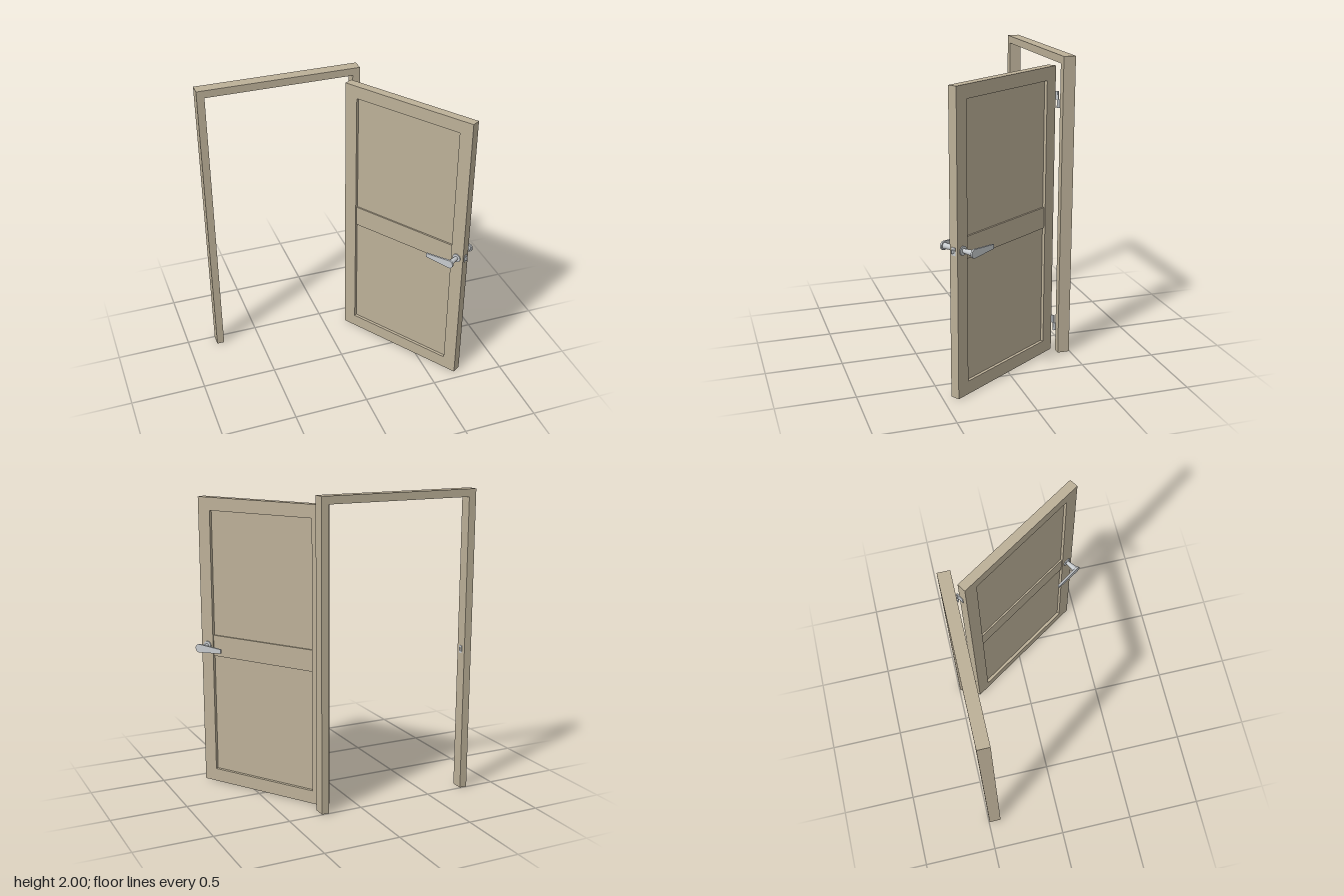
import * as THREE from 'three';

const wood = new THREE.MeshStandardMaterial({ color: 0xbcb098 });
wood.name = 'taupe wood';
const metal = new THREE.MeshStandardMaterial({ color: 0xc6cacd });
metal.name = 'brushed metal';

function add(parent, name, geometry, material, x = 0, y = 0, z = 0) {
  const mesh = new THREE.Mesh(geometry, material);
  mesh.name = name;
  mesh.position.set(x, y, z);
  parent.add(mesh);
  return mesh;
}

const box = (w, h, d) => new THREE.BoxGeometry(w, h, d);

// Closed outline from a list of corner points
function outline(points, Type = THREE.Shape) {
  return new Type(points.map(([x, y]) => new THREE.Vector2(x, y)));
}

function rectangle(x0, y0, x1, y1, Type) {
  return outline([[x0, y0], [x1, y0], [x1, y1], [x0, y1]], Type);
}

// Lever, neck and rose for one side, pointing along +z
function makeHandle(name) {
  const handle = new THREE.Group();
  handle.name = name;

  const rose = add(handle, 'rose', new THREE.CylinderGeometry(0.029, 0.029, 0.008, 24), metal, 0, 0, 0.033);
  rose.rotation.x = Math.PI / 2;

  const neck = add(handle, 'neck', new THREE.CylinderGeometry(0.02, 0.013, 0.08, 20), metal, 0, 0, 0.075);
  neck.rotation.x = Math.PI / 2;

  const shape = new THREE.Shape();
  shape.moveTo(-0.174, 0.014);
  shape.lineTo(-0.174, -0.014);
  shape.lineTo(0, -0.028);
  shape.absarc(0, 0, 0.028, -Math.PI / 2, Math.PI / 2, false);
  shape.closePath();
  const lever = new THREE.ExtrudeGeometry(shape, { depth: 0.012, bevelEnabled: false, curveSegments: 20 });
  add(handle, 'lever', lever, metal, 0, 0, 0.113);
  return handle;
}

export function createModel() {
  const model = new THREE.Group();
  model.name = 'openDoor';

  // Frame: one three-sided extrusion
  const frameShape = outline([
    [-0.805, 0], [-0.755, 0], [-0.755, 1.95], [0.225, 1.95],
    [0.225, 0], [0.275, 0], [0.275, 2], [-0.805, 2],
  ]);
  const frameGeometry = new THREE.ExtrudeGeometry(frameShape, { depth: 0.08, bevelEnabled: false });
  add(model, 'frame', frameGeometry, wood, 0, 0, -0.495);

  // Strike plate with its opening on the latch jamb
  const strikeShape = rectangle(-0.015, -0.025, 0.015, 0.025);
  strikeShape.holes.push(rectangle(-0.007, -0.012, 0.007, 0.012, THREE.Path));
  const strikeGeometry = new THREE.ExtrudeGeometry(strikeShape, { depth: 0.003, bevelEnabled: false });
  add(model, 'strikePlate', strikeGeometry, metal, -0.755, 0.953, -0.45).rotation.y = Math.PI / 2;

  // Door leaf, swung open about its hinges
  const door = new THREE.Group();
  door.name = 'door';
  door.position.set(0.44, 0, 0.026);
  door.rotation.y = -0.995;
  model.add(door);

  const half = 0.4775;
  const stileShape = rectangle(-half, 0.003, half, 1.935);
  stileShape.holes.push(rectangle(-0.387, 0.09, 0.387, 1.85, THREE.Path));
  const stileGeometry = new THREE.ExtrudeGeometry(stileShape, { depth: 0.06, bevelEnabled: false });
  add(door, 'doorSurround', stileGeometry, wood, 0, 0, -0.03);
  add(door, 'recessedPanel', box(0.774, 1.76, 0.02), wood, 0, 0.97, 0);
  add(door, 'middleRail', box(0.774, 0.14, 0.042), wood, 0, 0.955, 0);

  // Handles on both faces
  for (const side of [1, -1]) {
    const handle = makeHandle(side > 0 ? 'frontHandle' : 'backHandle');
    handle.position.set(0.43, 0.952, 0);
    if (side < 0) handle.rotation.x = Math.PI;
    door.add(handle);
  }

  // Latch plate and wedge-shaped bolt on the free edge
  add(door, 'latchPlate', box(0.004, 0.05, 0.03), metal, half + 0.001, 0.952, 0);
  const boltShape = outline([[0, -0.007], [0.016, -0.007], [0.016, -0.003], [0, 0.007]]);
  const boltGeometry = new THREE.ExtrudeGeometry(boltShape, { depth: 0.022, bevelEnabled: false });
  add(door, 'latchBolt', boltGeometry, metal, half, 0.941, 0).rotation.x = -Math.PI / 2;

  // Hinges: upper leaf on the door, lower leaf on the frame
  for (const y of [0.197, 1.72]) {
    add(door, 'hingeDoorLeaf', box(0.005, 0.053, 0.045), metal, -half - 0.002, y + 0.027, -0.022);
    add(model, 'hingeFrameLeaf', box(0.005, 0.053, 0.045), metal, 0.2225, y - 0.026, -0.424);
    add(model, 'hingePin', new THREE.CylinderGeometry(0.006, 0.006, 0.107, 12), metal, 0.218, y, -0.402);
  }

  return model;
}
